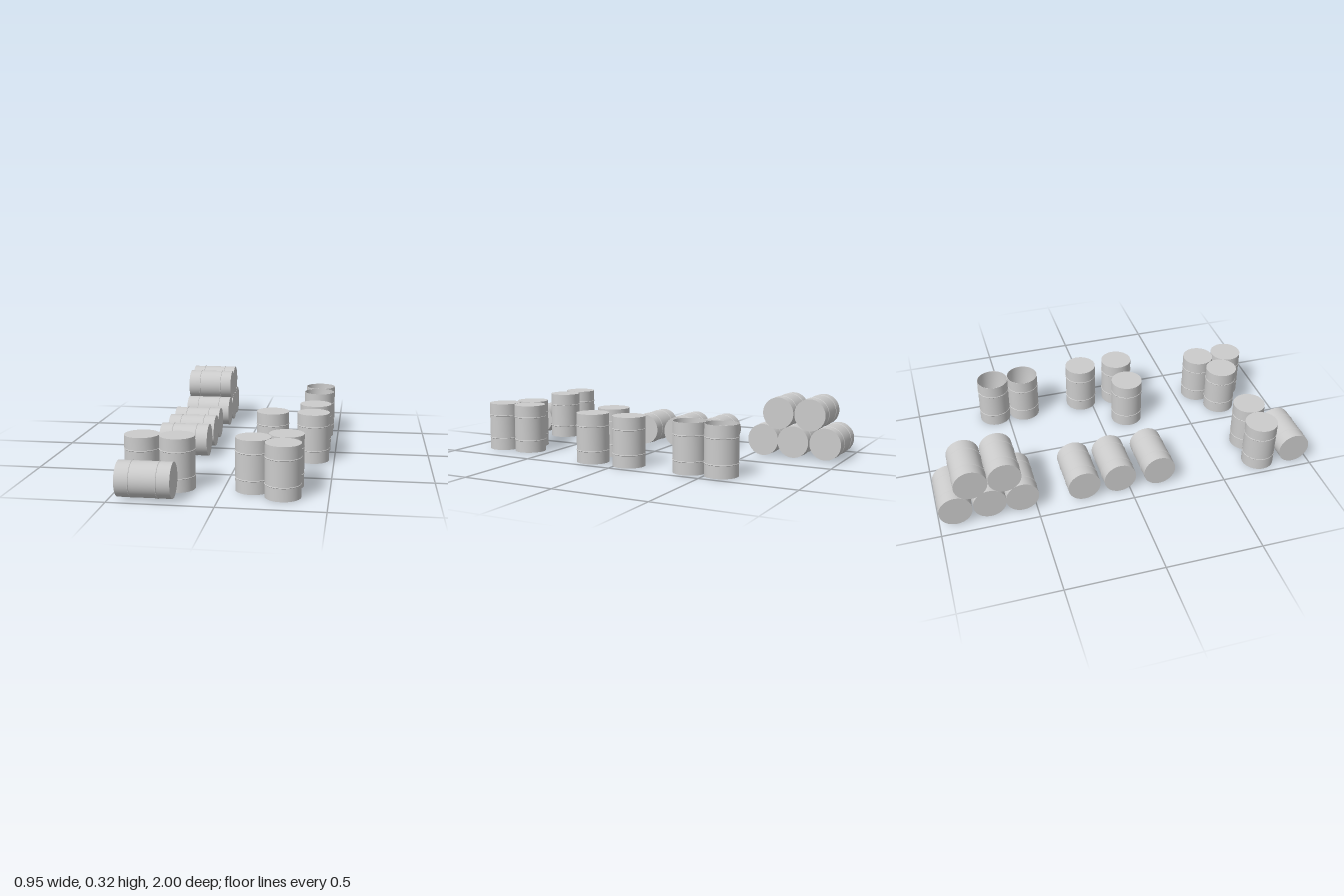
import * as THREE from 'three';
import { toCreasedNormals } from 'three/addons/utils/BufferGeometryUtils.js';

const R = 0.085, H = 0.258, SIDES = 48;
const lathe = (pts) => new THREE.LatheGeometry(pts.map(([x, y]) => new THREE.Vector2(x, y)), SIDES);

// Outer wall with two thin raised hoops
function wallProfile() {
  const pts = [[0, 0], [R, 0]];
  for (const y of [0.065, 0.193]) {
    pts.push([R, y - 0.003], [R + 0.002, y - 0.001], [R + 0.002, y + 0.001], [R, y + 0.003]);
  }
  pts.push([R, H]);
  return pts;
}

export function createModel() {
  const model = new THREE.Group();
  model.name = 'barrelYard';
  const grey = new THREE.MeshStandardMaterial({ color: 0xcccccc });

  const closedGeo = toCreasedNormals(lathe([...wallProfile(), [0, H]]), 0.4);
  const openGeo = toCreasedNormals(lathe([...wallProfile(), [R - 0.002, H]]), 0.4);
  // Inner wall and floor of an open barrel, softly shaded into each other
  const liningGeo = lathe([[R - 0.002, H], [R - 0.002, 0.006], [0, 0.006]]);

  const group = (name) => {
    const g = new THREE.Group();
    g.name = name;
    model.add(g);
    return g;
  };
  const barrel = (parent, name, geo, x, y, z) => {
    const m = new THREE.Mesh(geo, grey);
    m.name = name;
    m.position.set(x, y, z);
    parent.add(m);
    return m;
  };
  const standing = (parent, spots) =>
    spots.forEach(([x, z]) => barrel(parent, 'standingBarrel', closedGeo, x, 0, z));
  // Lying barrels have their axis along x; x and y give the barrel's middle
  const lying = (parent, spots) =>
    spots.forEach(([x, y, z]) => {
      barrel(parent, 'lyingBarrel', closedGeo, x + H / 2, y, z).rotation.z = Math.PI / 2;
    });

  // Front right: two upright barrels with one lying before them
  const pair = group('uprightPairWithLyingBarrel');
  standing(pair, [[-0.39, 0.737], [-0.22, 0.738]]);
  lying(pair, [[-0.331, 0.09, 0.913]]);

  // Front left: tight cluster of three
  standing(group('tightCluster'), [[0.288, 0.633], [0.139, 0.72], [0.288, 0.805]]);

  // Middle left: loose corner of three
  standing(group('looseCluster'), [[0.172, 0.16], [0.387, 0.16], [0.387, -0.056]]);

  // Back left: two open-topped barrels
  const open = group('openBarrels');
  for (const z of [-0.4, -0.571]) {
    barrel(open, 'openBarrel', openGeo, 0.387, 0, z);
    barrel(open, 'openBarrelLining', liningGeo, 0.387, 0, z);
  }

  // Middle right: row of lying barrels
  lying(group('lyingRow'), [[-0.308, 0.088, -0.25], [-0.301, 0.088, -0.056], [-0.301, 0.088, 0.159]]);

  // Back right: stacked pile, three below and two above
  lying(group('stackedPile'), [
    [-0.308, 0.088, -0.913], [-0.3, 0.088, -0.739], [-0.3, 0.088, -0.572],
    [-0.308, 0.237, -0.826], [-0.3, 0.237, -0.654],
  ]);

  return model;
}
